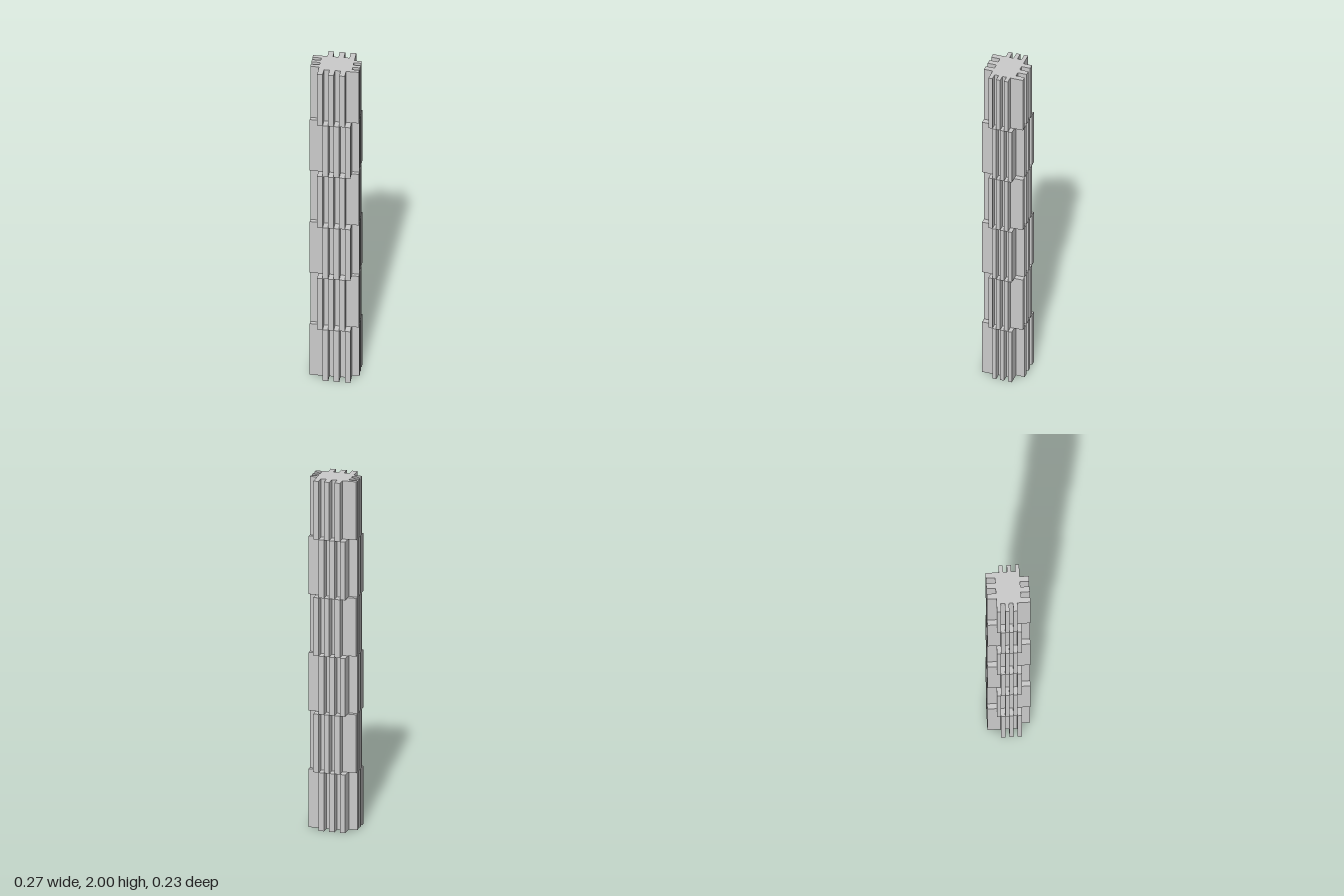
import * as THREE from 'three';

const LAYERS = 6, SLOTS = 6, HEIGHT = 2 / LAYERS;
// Core rectangle, seen from above with shape y = -z
const X0 = -0.087, X1 = 0.095, Y0 = -0.067, Y1 = 0.068;

// Each side: start corner, end corner, outward direction, tooth length
const SIDES = [
  { from: [X0, Y0], to: [X1, Y0], out: [0, -1], length: 0.05 },  // front
  { from: [X1, Y0], to: [X1, Y1], out: [1, 0], length: 0.04 },   // left
  { from: [X1, Y1], to: [X0, Y1], out: [0, 1], length: 0.05 },   // back
  { from: [X0, Y1], to: [X0, Y0], out: [-1, 0], length: 0.048 }, // right
];

// Toothed outline; first = 0 or 1 picks which alternate slots carry teeth
function toothedOutline(first) {
  const points = [];
  for (const { from, to, out, length } of SIDES) {
    const a = new THREE.Vector2(...from), b = new THREE.Vector2(...to);
    const reach = new THREE.Vector2(...out).multiplyScalar(length);
    for (let i = first; i < SLOTS; i += 2) {
      const start = a.clone().lerp(b, i / SLOTS);
      const end = a.clone().lerp(b, (i + 1) / SLOTS);
      points.push(start, start.clone().add(reach), end.clone().add(reach), end);
    }
  }
  return new THREE.Shape(points);
}

export function createModel() {
  const group = new THREE.Group();
  group.name = 'toothedColumn';
  const material = new THREE.MeshStandardMaterial({ color: 0xcccccc, flatShading: true });

  // Two alternating kinds of layer, stacked so teeth sit over gaps
  const geometries = [1, 0].map((first) =>
    new THREE.ExtrudeGeometry(toothedOutline(first), { depth: HEIGHT, bevelEnabled: false })
      .rotateX(-Math.PI / 2));

  for (let i = 0; i < LAYERS; i++) {
    const layer = new THREE.Mesh(geometries[i % 2], material);
    layer.name = `columnLayer${i + 1}`;
    layer.position.y = i * HEIGHT;
    group.add(layer);
  }
  return group;
}
